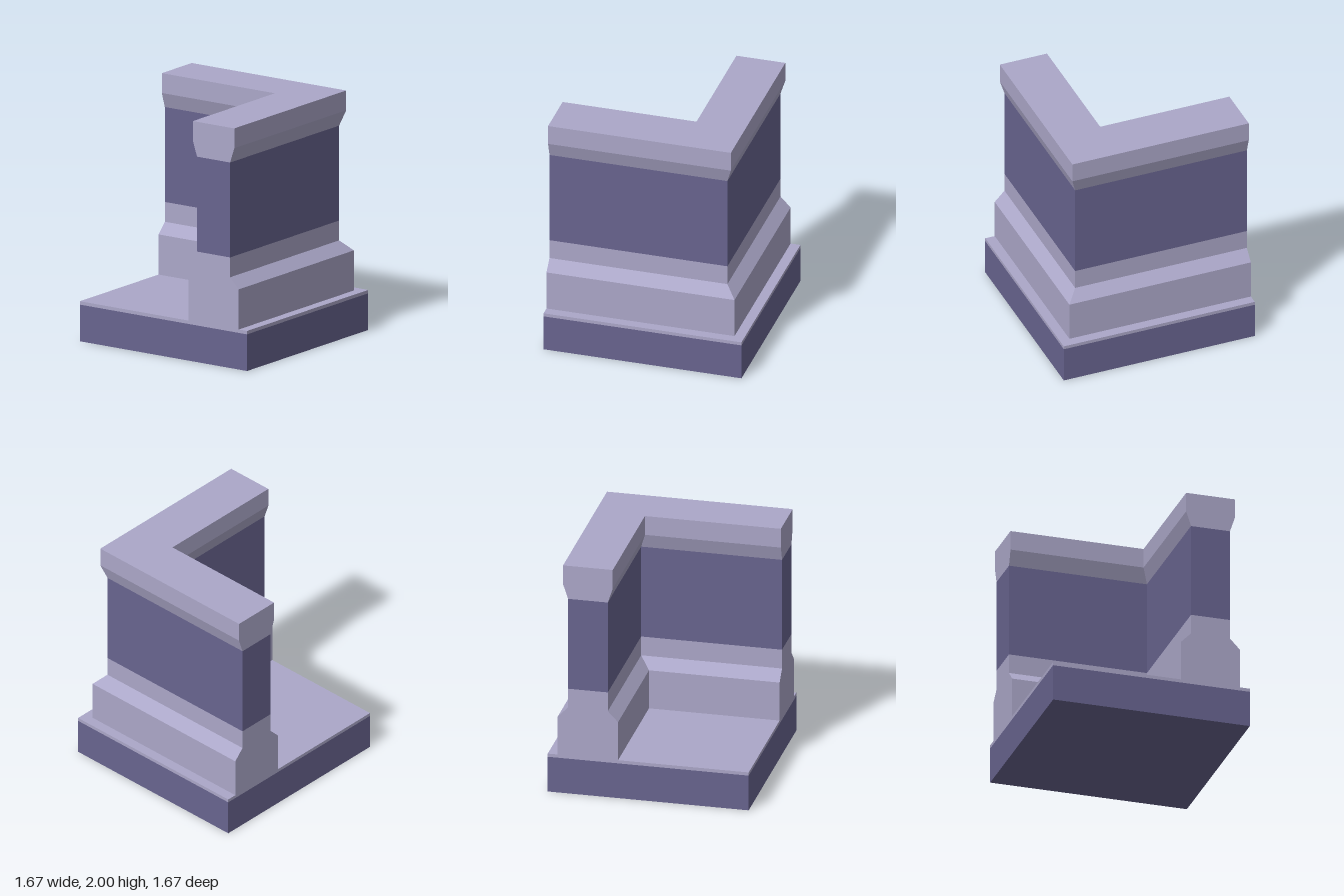
import * as THREE from 'three';

const EDGE = 0.833; // half width of the square base
const light = new THREE.MeshStandardMaterial({ color: 0xaba7c8 });
const dark = new THREE.MeshStandardMaterial({ color: 0x68648f });

// L-shaped outline of the wall; o is the outer face, the inner face mirrors it about 0.5
function outline(y, o) {
  const i = 1 - o;
  return [[-EDGE, o], [o, o], [o, -EDGE], [i, -EDGE], [i, i], [-EDGE, i]].map(([x, z]) => [x, y, z]);
}

// Horizontal band of the wall lofted through [height, outer face] levels
function wallBand(name, material, levels, closeTop = false) {
  const rings = levels.map(([y, o]) => outline(y, o));
  const pos = [];
  const quad = (a, b, c, d) => pos.push(...a, ...b, ...c, ...a, ...c, ...d);
  for (let k = 0; k < rings.length - 1; k++) {
    const lo = rings[k], hi = rings[k + 1];
    for (let j = 0; j < 6; j++) {
      const n = (j + 1) % 6;
      quad(lo[j], lo[n], hi[n], hi[j]);
    }
  }
  if (closeTop) {
    const t = rings[rings.length - 1];
    quad(t[0], t[1], t[4], t[5]);
    quad(t[1], t[2], t[3], t[4]);
  }
  const geometry = new THREE.BufferGeometry();
  geometry.setAttribute('position', new THREE.Float32BufferAttribute(pos, 3));
  geometry.computeVertexNormals();
  const mesh = new THREE.Mesh(geometry, material);
  mesh.name = name;
  return mesh;
}

// Square slab between two heights
function slab(name, material, y0, y1) {
  const mesh = new THREE.Mesh(new THREE.BoxGeometry(2 * EDGE, y1 - y0, 2 * EDGE), material);
  mesh.position.y = (y0 + y1) / 2;
  mesh.name = name;
  return mesh;
}

export function createModel() {
  const model = new THREE.Group();
  model.name = 'cornerWall';
  model.add(
    // Square floor base with its paler top layer
    slab('floorBase', dark, 0, 0.305),
    slab('floorTop', light, 0.305, 0.333),
    // Corner wall: chamfered plinth, plain panel, flared coping
    wallBand('wallPlinth', light, [[0.333, 0.75], [0.667, 0.75], [0.755, 0.665], [0.92, 0.665]]),
    wallBand('wallPanel', dark, [[0.92, 0.665], [1.71, 0.665]]),
    wallBand('wallCoping', light, [[1.71, 0.665], [1.835, 0.706], [2, 0.706]], true)
  );
  return model;
}
